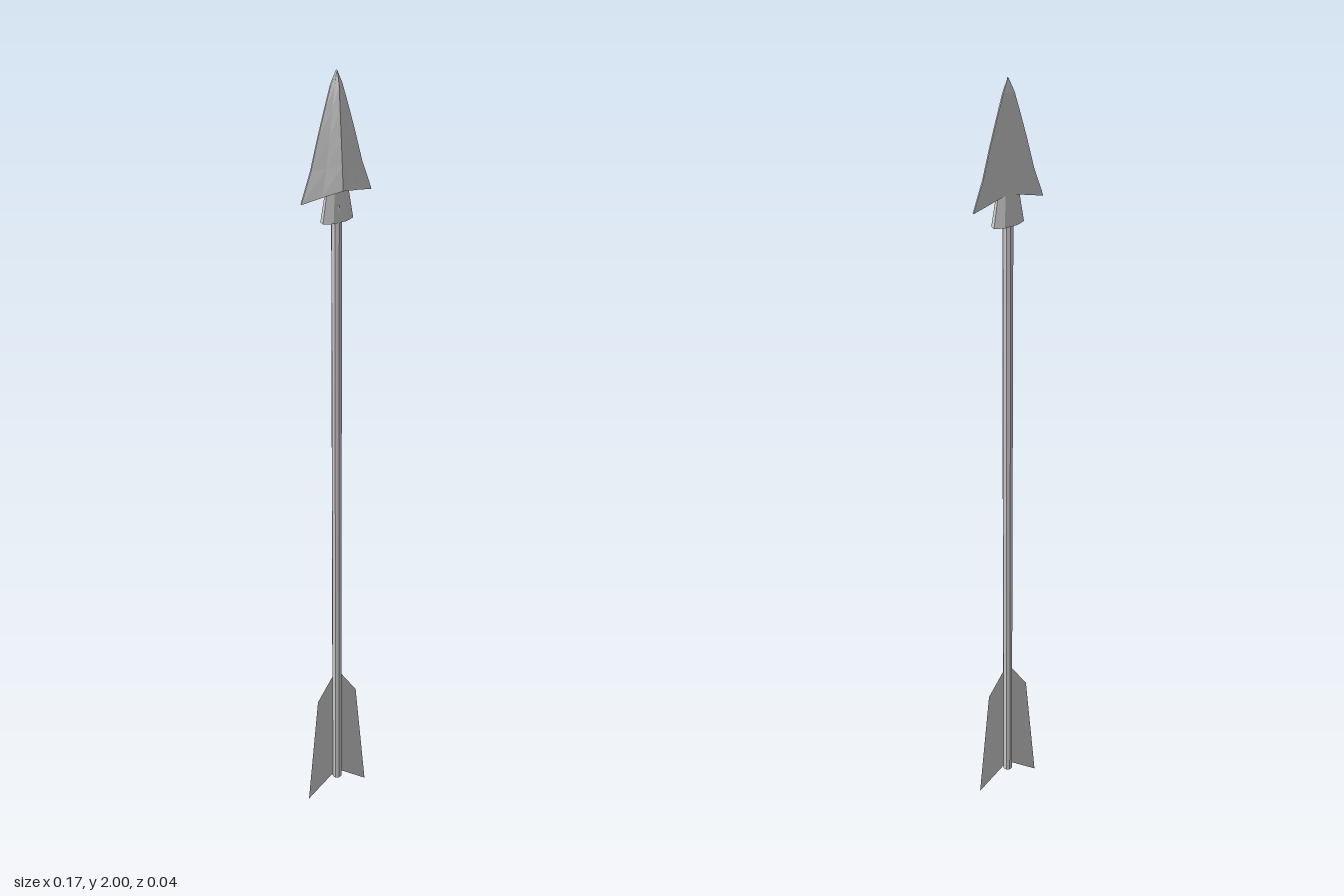
import * as THREE from 'three';

const AXIS_Z = -0.004;
const material = new THREE.MeshStandardMaterial({ color: 0xcccccc, flatShading: true });

// Blade lofted from rows: centre height, edge height, half width, ridge z
function bladeGeometry() {
  const rows = [
    [2.0, 2.0, 0.001, -0.008],
    [1.97, 1.97, 0.013, 0.0],
    [1.92, 1.92, 0.027, 0.004],
    [1.86, 1.86, 0.043, 0.009],
    [1.80, 1.79, 0.060, 0.014],
    [1.745, 1.72, 0.083, 0.018],
  ];
  const back = -0.015, edge = -0.011;
  const us = [-1, -0.5, 0, 0.5, 1];
  const n = us.length * 2;
  const pos = [], idx = [];
  rows.forEach(([yc, ye, w, ridge], r) => {
    const b = r === 0 ? -0.012 : back;
    const point = (u, z) => pos.push(u * w, yc + (ye - yc) * Math.abs(u), z);
    us.forEach(u => point(u, Math.min(edge, ridge) + (ridge - Math.min(edge, ridge)) * Math.pow(1 - Math.abs(u), 1.15)));
    [...us].reverse().forEach(u => point(u, b));
  });
  for (let r = 0; r < rows.length - 1; r++) {
    for (let i = 0; i < n; i++) {
      const a = r * n + i, b = r * n + (i + 1) % n;
      idx.push(a, a + n, b, b, a + n, b + n);
    }
  }
  // Close the tip and the underside
  const last = (rows.length - 1) * n;
  for (let i = 0; i < us.length - 1; i++) {
    const j = n - 1 - i;
    idx.push(i, i + 1, j, i + 1, j - 1, j);
    idx.push(last + i, last + j, last + i + 1, last + i + 1, last + j, last + j - 1);
  }
  const g = new THREE.BufferGeometry();
  g.setAttribute('position', new THREE.Float32BufferAttribute(pos, 3));
  g.setIndex(idx);
  g.computeVertexNormals();
  return g;
}

export function createModel() {
  const arrow = new THREE.Group();
  arrow.name = 'arrow';
  const add = (name, geometry, x, y, z, mat = material) => {
    const mesh = new THREE.Mesh(geometry, mat);
    mesh.name = name;
    mesh.position.set(x, y, z);
    arrow.add(mesh);
    return mesh;
  };

  // Shaft
  add('shaft', new THREE.CylinderGeometry(0.012, 0.012, 1.66, 8), -0.003, 0.88, AXIS_Z);

  // Arrowhead and its flared socket
  add('arrowhead', bladeGeometry(), 0.001, 0, 0);
  const socket = new THREE.CylinderGeometry(0.025, 0.039, 0.085, 8);
  socket.rotateY(Math.PI / 8);
  socket.scale(1, 1, 0.4);
  add('socket', socket, -0.002, 1.7125, -0.005);

  // Pair of thin feather vanes
  const vaneMaterial = material.clone();
  vaneMaterial.side = THREE.DoubleSide;
  for (const side of [-1, 1]) {
    const shape = new THREE.Shape([
      [0, 0.405], [0.011, 0.4], [0.054, 0.328], [0.083, 0], [0.012, 0.06], [0, 0.06],
    ].map(([x, y]) => new THREE.Vector2(x * side, y)));
    add(side < 0 ? 'rightVane' : 'leftVane', new THREE.ShapeGeometry(shape), -0.003, 0, AXIS_Z, vaneMaterial);
  }
  return arrow;
}
